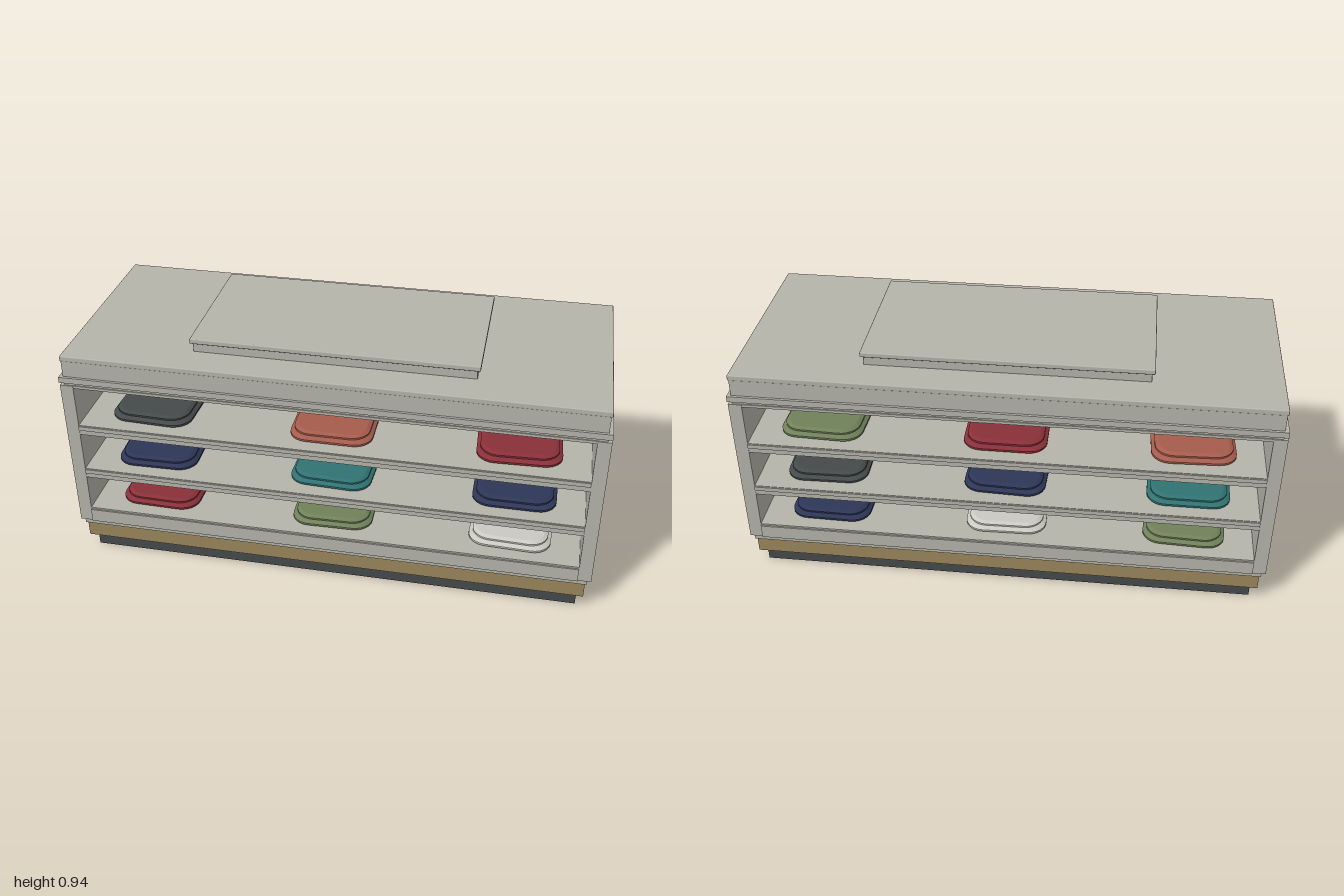
import * as THREE from 'three';
import { RoundedBoxGeometry } from 'three/addons/geometries/RoundedBoxGeometry.js';

const mat = (name, color, flatShading = false) => {
  const m = new THREE.MeshStandardMaterial({ color, flatShading });
  m.name = name;
  return m;
};

export function createModel() {
  const group = new THREE.Group();
  const grey = mat('warm grey paint', 0xb5b4aa);
  const wood = mat('wood', 0x9a865c);
  const cloth = {
    dark: mat('charcoal', 0x454a4a, true),
    navy: mat('navy', 0x2e3657, true),
    red: mat('red', 0x8a3039, true),
    coral: mat('coral', 0xa65c4c, true),
    teal: mat('teal', 0x317272, true),
    green: mat('olive green', 0x70815a, true),
    white: mat('off white', 0xcacac2, true),
  };

  const add = (name, geometry, material, x = 0, y = 0, z = 0, parent = group) => {
    const mesh = new THREE.Mesh(geometry, material);
    mesh.name = name;
    mesh.position.set(x, y, z);
    parent.add(mesh);
    return mesh;
  };
  // Box given by full width and depth, and by bottom and top heights
  const slab = (name, w, d, y0, y1, material = grey, x = 0, z = 0, radius = 0) => {
    const g = radius
      ? new RoundedBoxGeometry(w, y1 - y0, d, 2, radius)
      : new THREE.BoxGeometry(w, y1 - y0, d);
    return add(name, g, material, x, (y0 + y1) / 2, z);
  };

  // Base
  slab('plinth', 1.91, 0.726, 0, 0.063, cloth.dark);
  slab('woodBase', 1.96, 0.78, 0.063, 0.13, wood);
  slab('baseMoulding', 1.97, 0.8, 0.13, 0.15);

  // Carcass, open at the front and back, with a central divider
  for (const s of [-1, 1]) slab('sidePanel', 0.05, 0.81, 0.15, 0.77, grey, s * 0.975);
  slab('divider', 1.9, 0.02, 0.2, 0.765);
  slab('bottomBoard', 1.9, 0.808, 0.15, 0.212);
  slab('bottomLip', 1.9, 0.82, 0.15, 0.205);
  for (const y of [0.4, 0.598]) {
    slab('shelf', 1.9, 0.808, y - 0.041, y);
    slab('shelfLip', 1.9, 0.82, y - 0.019, y - 0.002);
  }
  slab('header', 1.9, 0.808, 0.76, 0.771);

  // Top mouldings, fascia and counter
  slab('neck', 1.97, 0.8, 0.77, 0.784);
  slab('topMoulding', 2, 0.82, 0.783, 0.806);
  slab('fasciaCore', 1.95, 0.754, 0.805, 0.87);
  for (const s of [-1, 1]) slab('fascia', 1.97, 0.023, 0.805, 0.87, grey, 0, s * 0.3885);
  slab('counterTop', 1.98, 0.8, 0.868, 0.89, grey, 0, 0, 0.004);
  slab('riser', 1.04, 0.54, 0.888, 0.927, grey, 0, 0, 0.003);
  slab('riserTop', 1.06, 0.56, 0.925, 0.945, grey, 0, 0, 0.004);

  // Soft layer: a rounded rectangle extruded upwards with bevelled rims
  const layer = (w, d, h, corner, bevel) => {
    const x = w / 2 - bevel, z = d / 2 - bevel, r = corner;
    const s = new THREE.Shape();
    s.absarc(x - r, z - r, r, 0, Math.PI / 2);
    s.absarc(-x + r, z - r, r, Math.PI / 2, Math.PI);
    s.absarc(-x + r, -z + r, r, Math.PI, Math.PI * 1.5);
    s.absarc(x - r, -z + r, r, Math.PI * 1.5, Math.PI * 2);
    const t = h * 0.35;
    return new THREE.ExtrudeGeometry(s, {
      depth: h - 2 * t, bevelSize: bevel, bevelThickness: t, bevelSegments: 1, curveSegments: 3,
    }).rotateX(-Math.PI / 2).translate(0, t, 0);
  };
  const lower = layer(0.31, 0.3, 0.025, 0.055, 0.014);
  const upper = layer(0.285, 0.27, 0.021, 0.055, 0.014);
  const collar = layer(0.11, 0.06, 0.008, 0.02, 0.006);

  // Folded garments: rows from top to bottom, columns from left to right as faced
  const floors = [0.598, 0.4, 0.212];
  const sides = {
    front: [['dark', 'coral', 'red'], ['navy', 'teal', 'navy'], ['red', 'green', 'white']],
    back: [['green', 'red', 'coral'], ['dark', 'navy', 'teal'], ['navy', 'white', 'green']],
  };
  for (const [side, rows] of Object.entries(sides)) {
    const display = new THREE.Group();
    display.name = side + 'Garments';
    if (side === 'back') display.rotation.y = Math.PI;
    rows.forEach((row, r) => row.forEach((key, c) => {
      const garment = new THREE.Group();
      garment.name = 'foldedGarment';
      garment.position.set((c - 1) * 0.688, floors[r], 0.21);
      garment.rotation.y = (((r * 3 + c * 2) % 5) - 2) * 0.02;
      add('lowerFold', lower, cloth[key], 0, 0, 0, garment);
      add('upperFold', upper, cloth[key], 0, 0.02, 0, garment);
      add('collar', collar, cloth[key], 0, 0.038, -0.08, garment);
      display.add(garment);
    }));
    group.add(display);
  }
  return group;
}
